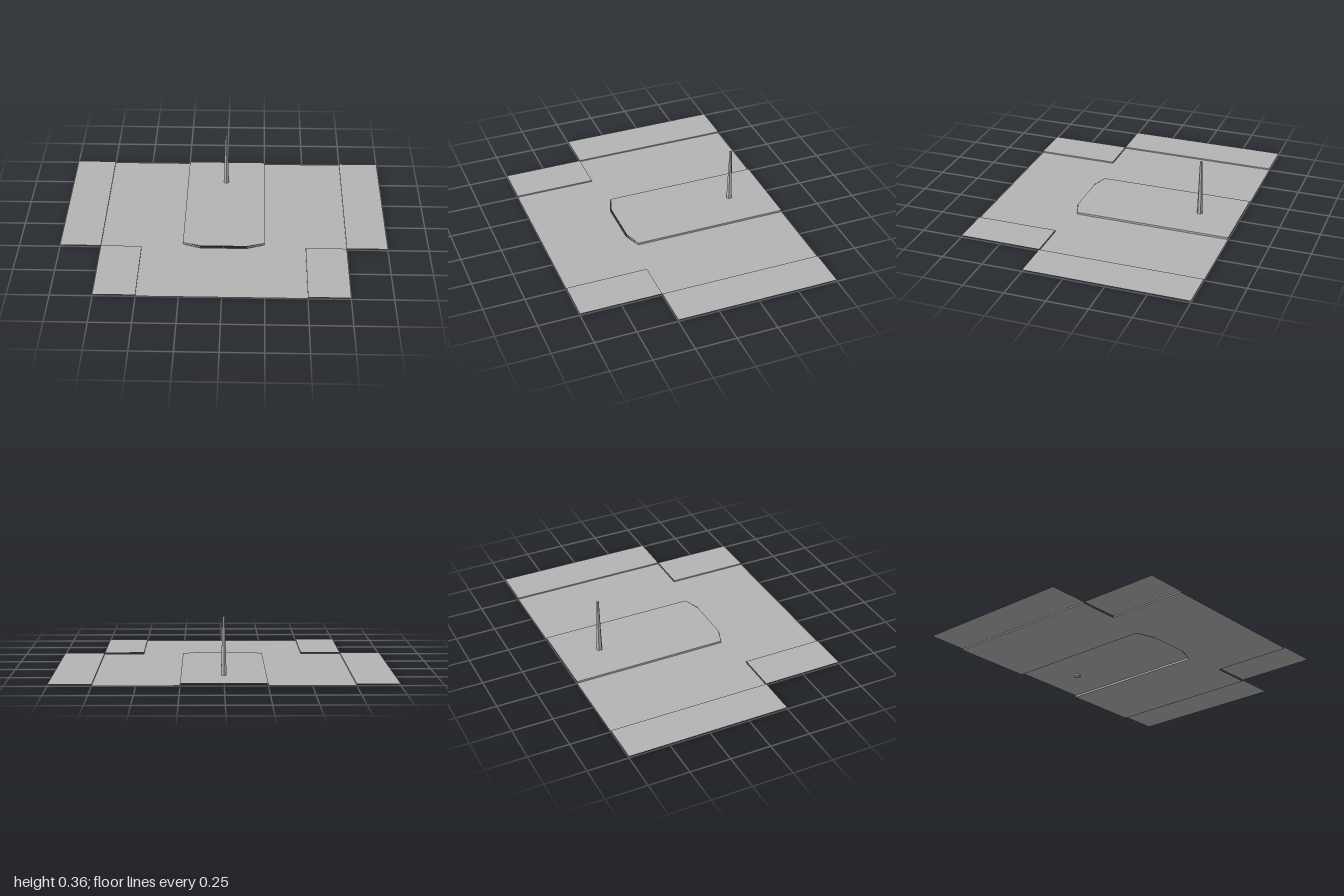
import * as THREE from 'three';

const BASE = 0.002, FLANK = 0.01, CENTRE = 0.014;

export function createModel() {
  const group = new THREE.Group();
  const grey = new THREE.MeshStandardMaterial({ color: 0xb4b4b4, side: THREE.DoubleSide, flatShading: true });
  grey.name = 'plain grey';

  const add = (name, geometry) => {
    const mesh = new THREE.Mesh(geometry, grey);
    mesh.name = name;
    group.add(mesh);
    return mesh;
  };

  // Flat sheet from an outline of [x, z] points, facing up at height y
  const sheet = (name, points, y) => {
    const shape = new THREE.Shape(points.map(([x, z]) => new THREE.Vector2(x, -z)));
    add(name, new THREE.ShapeGeometry(shape).rotateX(-Math.PI / 2).translate(0, y, 0));
  };

  // Upright riser between two [x, z] points, from the base up to height y
  const riser = (name, [x0, z0], [x1, z1], y) => {
    const g = new THREE.PlaneGeometry(Math.hypot(x1 - x0, z1 - z0), y - BASE);
    g.rotateY(-Math.atan2(z1 - z0, x1 - x0));
    g.translate((x0 + x1) / 2, (BASE + y) / 2, (z0 + z1) / 2);
    add(name, g);
  };

  // Lower floor, cut out beneath the raised centre
  sheet('floor', [
    [-0.75, -0.75], [-0.25, -0.75], [-0.25, 0.21], [-0.14, 0.25], [0.14, 0.25], [0.25, 0.21],
    [0.25, -0.75], [0.75, -0.75], [0.75, 0.25], [0.5, 0.25], [0.5, 0.75],
    [-0.5, 0.75], [-0.5, 0.25], [-0.75, 0.25],
  ], BASE);

  // Raised centre, open at its front edge
  sheet('raisedCentre', [
    [-0.25, -0.75], [0.25, -0.75], [0.25, 0.21], [0.14, 0.245], [-0.14, 0.245], [-0.25, 0.21],
  ], CENTRE);

  for (const s of [-1, 1]) {
    const side = s > 0 ? 'left' : 'right';
    // Raised flanks with their risers
    sheet(side + 'RearFlank', [[s * 0.75, -0.75], [s, -0.75], [s, 0.25], [s * 0.75, 0.25]], FLANK);
    riser(side + 'RearStep', [s * 0.75, -0.75], [s * 0.75, 0.25], FLANK);
    sheet(side + 'FrontFlank', [[s * 0.5, 0.25], [s * 0.75, 0.25], [s * 0.75, 0.75], [s * 0.5, 0.75]], FLANK);
    riser(side + 'FrontStep', [s * 0.5, 0.25], [s * 0.5, 0.75], FLANK);
    // Risers of the centre
    riser(side + 'CentreStep', [s * 0.25, -0.75], [s * 0.25, 0.21], CENTRE);
    riser(side + 'CentreCorner', [s * 0.25, 0.21], [s * 0.14, 0.247], CENTRE);
  }

  // Tapered six-sided post
  add('post', new THREE.CylinderGeometry(0.008, 0.019, 0.36, 6)).position.set(0, 0.18, -0.5);

  return group;
}
